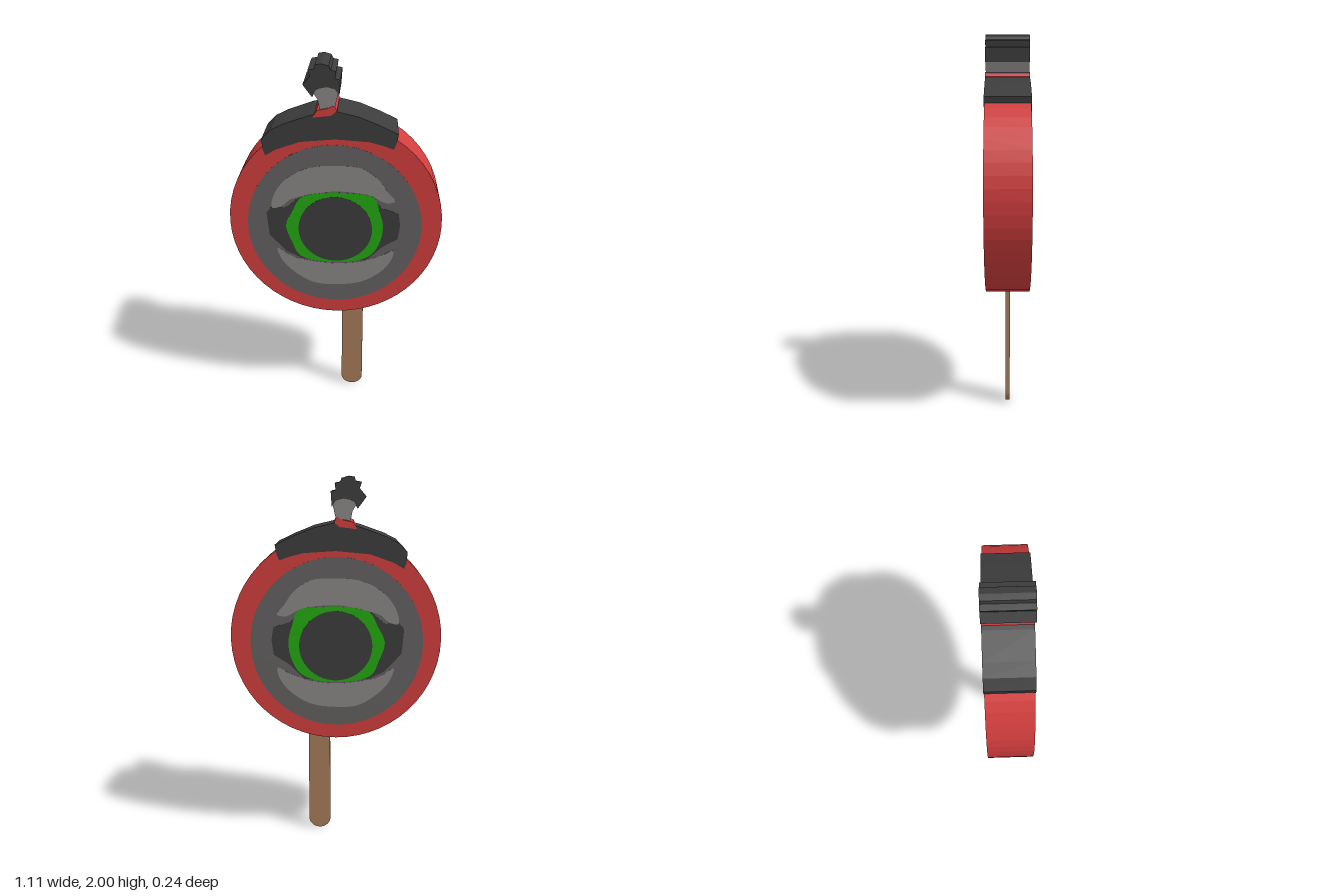
import * as THREE from 'three';

const mat = (name, color, flatShading = false) => {
  const m = new THREE.MeshStandardMaterial({ color, flatShading });
  m.name = name;
  return m;
};

export function createModel() {
  const red = mat('red', 0xd43e3e, true);
  const charcoal = mat('charcoal', 0x3d3d3d);
  const midGrey = mat('midGrey', 0x646261);
  const lightGrey = mat('lightGrey', 0x8c8988);
  const green = mat('green', 0x24aa11);
  const wood = mat('wood', 0xa87e5c);

  const model = new THREE.Group();
  model.name = 'roundEyeOnStick';
  const HALF = 0.116; // half thickness of the body

  const add = (name, geometry, material, parent = model) => {
    const mesh = new THREE.Mesh(geometry, material);
    mesh.name = name;
    parent.add(mesh);
    return mesh;
  };

  // Outline from points in hundredths of a unit, optionally smoothed
  const outline = (pts, smooth = false) => {
    let v = pts.map(([x, y]) => new THREE.Vector2(x / 100, y / 100));
    if (smooth) {
      const c = new THREE.CatmullRomCurve3(v.map(p => new THREE.Vector3(p.x, p.y, 0)), true, 'centripetal');
      v = c.getPoints(pts.length * 4).slice(0, -1).map(p => new THREE.Vector2(p.x, p.y));
    }
    return new THREE.Shape(v);
  };
  const ellipse = (x, y, rx, ry) => new THREE.Shape().absellipse(x, y, rx, ry, 0, Math.PI * 2);

  // Slab centred on z = 0
  const slab = (shape, half, segs = 24) =>
    new THREE.ExtrudeGeometry(shape, { depth: half * 2, bevelEnabled: false, curveSegments: segs }).translate(0, 0, -half);

  // Thin painted plate on both faces; higher layers sit slightly further out
  const painted = (name, shape, material, layer) => {
    const pair = new THREE.Group();
    pair.name = name;
    model.add(pair);
    for (const side of [1, -1]) {
      const plate = add(name + (side > 0 ? 'Front' : 'Back'), slab(shape, 0.0005, 48), material, pair);
      plate.position.z = side * (HALF + layer * 0.001);
    }
  };

  // Round body
  const body = new THREE.CylinderGeometry(0.556, 0.556, HALF * 2, 56).rotateX(Math.PI / 2).translate(0, 1.166, 0);
  add('body', body, red);

  // Face and eye
  painted('faceDisc', ellipse(-0.005, 1.143, 0.457, 0.457), midGrey, 1);
  painted('eyeWhite', outline([
    [-36, 122], [-33, 126], [-26, 125], [-19, 131], [-2, 134], [18, 133], [24, 126], [33, 123],
    [34, 116], [33, 108], [25, 103], [17, 95], [1, 93], [-18, 95], [-26, 99], [-35, 109],
  ]), charcoal, 2);
  painted('upperLid', outline([
    [-31, 134], [-23, 143], [-12, 148], [0, 149], [13, 148], [22, 142], [27, 135], [31, 130],
    [26, 129], [18, 133], [0, 135], [-12, 133], [-23, 130], [-28, 126], [-33, 125],
  ], true), lightGrey, 3);
  painted('lowerLid', outline([
    [-31, 101], [-23, 96], [-12, 93.5], [1, 92.5], [14, 94], [25, 98], [31, 101],
    [30.5, 96], [25, 88], [14, 81], [1, 79], [-12, 80], [-23, 87], [-29, 94],
  ], true), lightGrey, 3);
  painted('iris', outline([
    [-18, 131], [-7, 134], [9, 134], [20, 132], [23, 124], [25, 116], [24, 107],
    [19, 98], [10, 94], [-7, 93.5], [-19, 97], [-23, 105], [-26, 115], [-22, 124],
  ], true), green, 4);
  painted('pupil', ellipse(0, 1.13, 0.194, 0.189), charcoal, 5);

  // Curved cap over the rim
  add('cap', slab(outline([
    [-36.7, 162.4], [-36.2, 157], [-35.1, 154], [-29.8, 157.1], [-17.6, 161.4], [0, 163], [16.8, 161.9],
    [24, 160], [29, 158.2], [30.5, 162], [31.1, 166.1], [22, 170.4], [11.5, 174.6], [0, 177.3],
    [-12.3, 175.1], [-25.6, 170.4], [-32, 167.2],
  ]), HALF + 0.003), charcoal);

  // Collar, neck and stepped knob on top
  add('collar', slab(outline([
    [-11, 174], [-9, 177.5], [-4, 178.5], [-0.5, 180], [1, 177.5], [-2, 175],
  ]), HALF + 0.004), red);
  add('neck', slab(outline([
    [-7.5, 178], [0, 179.5], [2, 188], [-3, 190], [-11, 187], [-8.5, 183],
  ]), HALF + 0.001), lightGrey);
  add('knob', slab(outline([
    [-15.5, 190], [-12, 194], [-13, 197], [-10, 197.5], [-9.5, 199.5], [-6.5, 200], [-3, 199], [-2, 197],
    [0.5, 196.5], [0, 193], [2.5, 192.5], [2, 185], [0, 188], [-4, 189], [-9, 188], [-11, 184],
  ]), HALF + 0.003), charcoal);

  // Flat wooden stick with a rounded end
  const stick = new THREE.Shape();
  stick.moveTo(0.157, 0.062);
  stick.lineTo(0.154, 0.635);
  stick.lineTo(0.034, 0.635);
  stick.lineTo(0.033, 0.062);
  stick.absarc(0.095, 0.062, 0.062, Math.PI, Math.PI * 2, false);
  add('stick', slab(stick, 0.011, 12), wood);

  return model;
}
